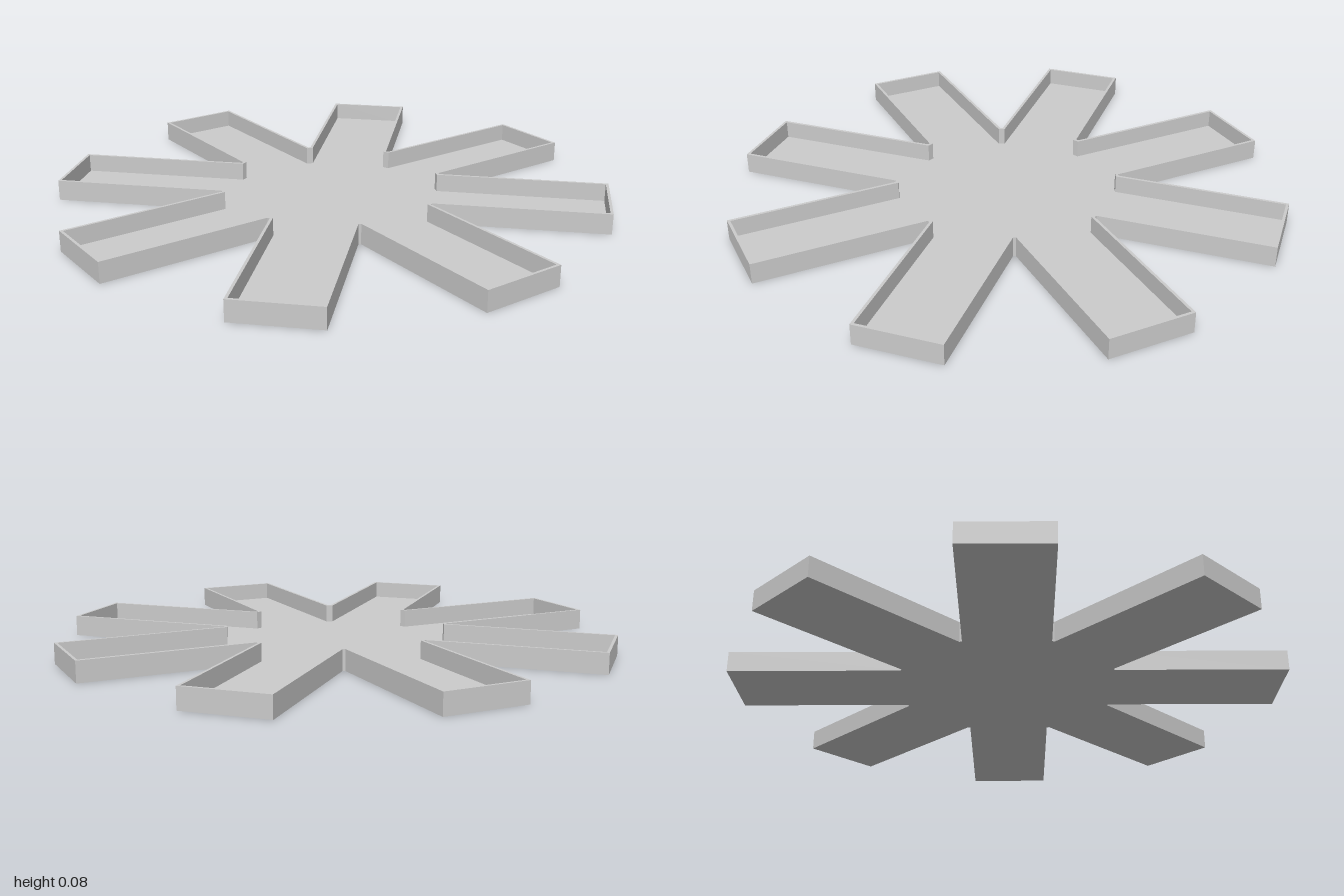
import * as THREE from 'three';

const ARMS = 8, HEIGHT = 0.075, WALL = 0.01;
const HALF = Math.PI / ARMS;

// Star outline: square-ended arms joined by narrow blunt notches
function outline(inset) {
  const length = 1 - inset, halfWidth = 0.152 - inset, notch = 0.409 - inset;
  const blunt = (notch - halfWidth / Math.sin(HALF)) * Math.tan(HALF);
  const points = [];
  const add = (x, y, angle) =>
    points.push(new THREE.Vector2(x, y).rotateAround(new THREE.Vector2(), angle));
  for (let i = 0; i < ARMS; i++) {
    const angle = i * 2 * HALF;
    add(length, -halfWidth, angle);
    add(length, halfWidth, angle);
    add(notch, -blunt, angle + HALF);
    add(notch, blunt, angle + HALF);
  }
  return points;
}

function slab(name, shape, depth, material) {
  const geometry = new THREE.ExtrudeGeometry(shape, { depth, bevelEnabled: false });
  geometry.rotateX(-Math.PI / 2);
  const mesh = new THREE.Mesh(geometry, material);
  mesh.name = name;
  return mesh;
}

export function createModel() {
  const group = new THREE.Group();
  group.name = 'starTray';
  const material = new THREE.MeshStandardMaterial({ color: 0xcccccc, flatShading: true });

  // Thin wall following the whole outline
  const rim = new THREE.Shape(outline(0));
  rim.holes.push(new THREE.Path(outline(WALL)));
  group.add(slab('rimWall', rim, HEIGHT, material));

  // Flat bottom inside the wall
  group.add(slab('floor', new THREE.Shape(outline(WALL)), WALL, material));
  return group;
}
